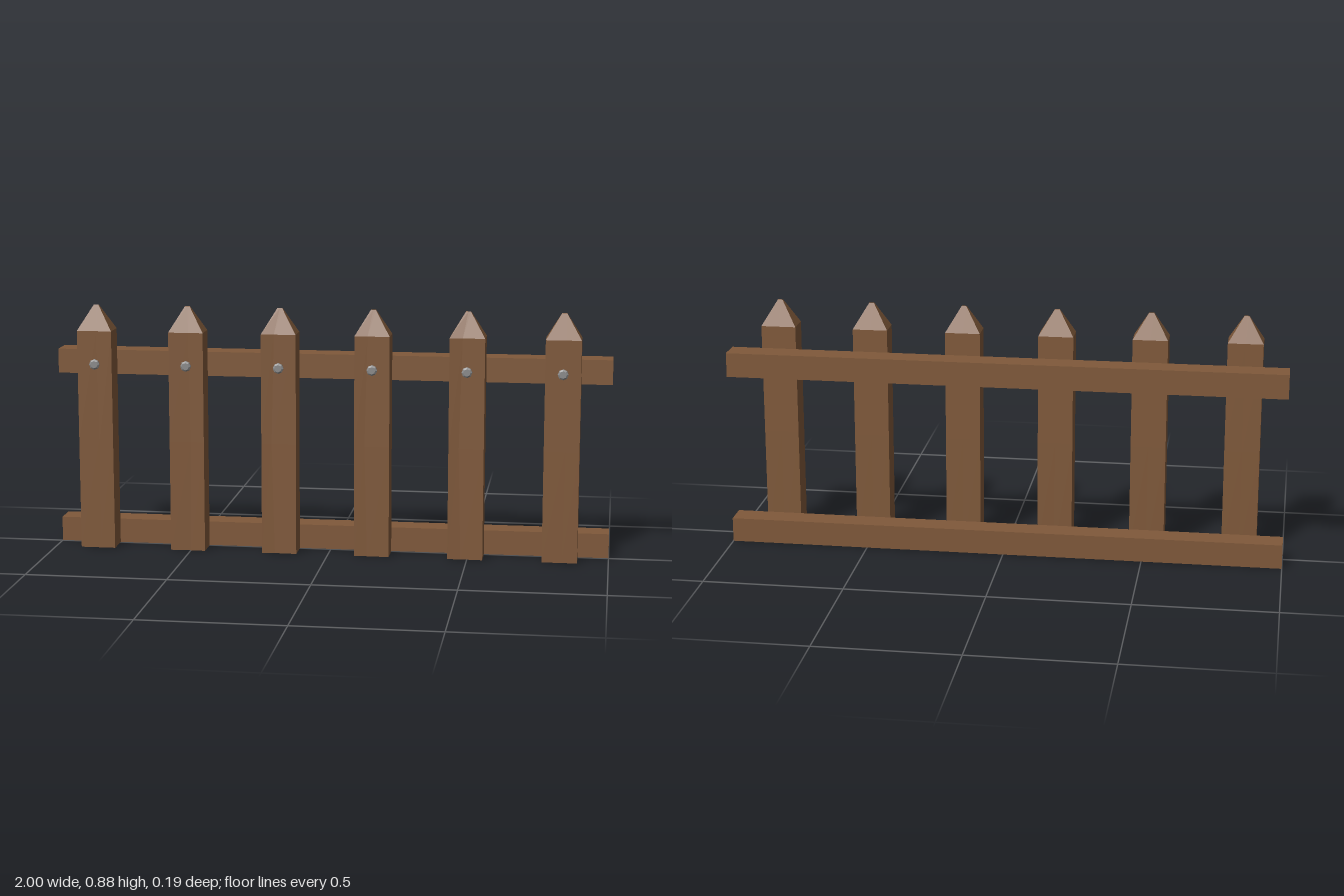
import * as THREE from 'three';

const WIDTH = 0.125, DEPTH = 0.087, HEIGHT = 0.885, SHOULDER = 0.795;

// Square post with a pointed top and a shallow crease down its front face
function picketGeometry(creaseX, dent) {
  const levels = [0, 0.4, SHOULDER, HEIGHT];
  const geo = new THREE.BoxGeometry(WIDTH, 3, DEPTH, 2, 3, 1);
  const pos = geo.attributes.position;
  for (let i = 0; i < pos.count; i++) {
    const level = Math.round(pos.getY(i) + 1.5);
    let x = pos.getX(i), z = pos.getZ(i);
    if (level === 3) {
      x *= 0.14;
      z *= 0.08;
    } else if (Math.abs(x) < 1e-6 && z > 0) {
      x = creaseX * (level === 1 ? 1.3 : 0.8);
      z -= dent;
    }
    pos.setXYZ(i, x, levels[level], z);
  }
  const flat = geo.toNonIndexed();
  flat.computeVertexNormals();
  return flat;
}

export function createModel() {
  const group = new THREE.Group();
  const wood = new THREE.MeshStandardMaterial({ color: 0x80593a });
  const metal = new THREE.MeshStandardMaterial({ color: 0x8c8c8c });
  wood.name = 'wood';
  metal.name = 'nail metal';

  const add = (name, geo, mat, x, y, z) => {
    const mesh = new THREE.Mesh(geo, mat);
    mesh.name = name;
    mesh.position.set(x, y, z);
    group.add(mesh);
  };

  // Horizontal rails behind the pickets
  const railGeo = new THREE.BoxGeometry(2, 0.088, 0.089);
  add('lowerRail', railGeo, wood, 0, 0.044, -0.0485);
  add('upperRail', railGeo, wood, 0, 0.671, -0.0485);

  // Nail head with a bevelled rim
  const nailGeo = new THREE.LatheGeometry([
    new THREE.Vector2(0.019, -0.008),
    new THREE.Vector2(0.019, 0.005),
    new THREE.Vector2(0.013, 0.009),
    new THREE.Vector2(0, 0.009),
  ], 8).toNonIndexed();
  nailGeo.rotateX(Math.PI / 2);
  nailGeo.computeVertexNormals();

  // Pickets: centre x, crease offset, crease depth
  const pickets = [
    [-0.843, 0.01, 0], [-0.51, 0.012, 0.002], [-0.176, -0.02, 0.003],
    [0.158, -0.02, 0.002], [0.493, -0.02, 0.003], [0.828, 0.01, 0],
  ];
  pickets.forEach(([x, crease, dent], i) => {
    add(`picket${i + 1}`, picketGeometry(crease, dent), wood, x, 0, DEPTH / 2);
    add(`nail${i + 1}`, nailGeo, metal, x, 0.675, DEPTH);
  });
  return group;
}
